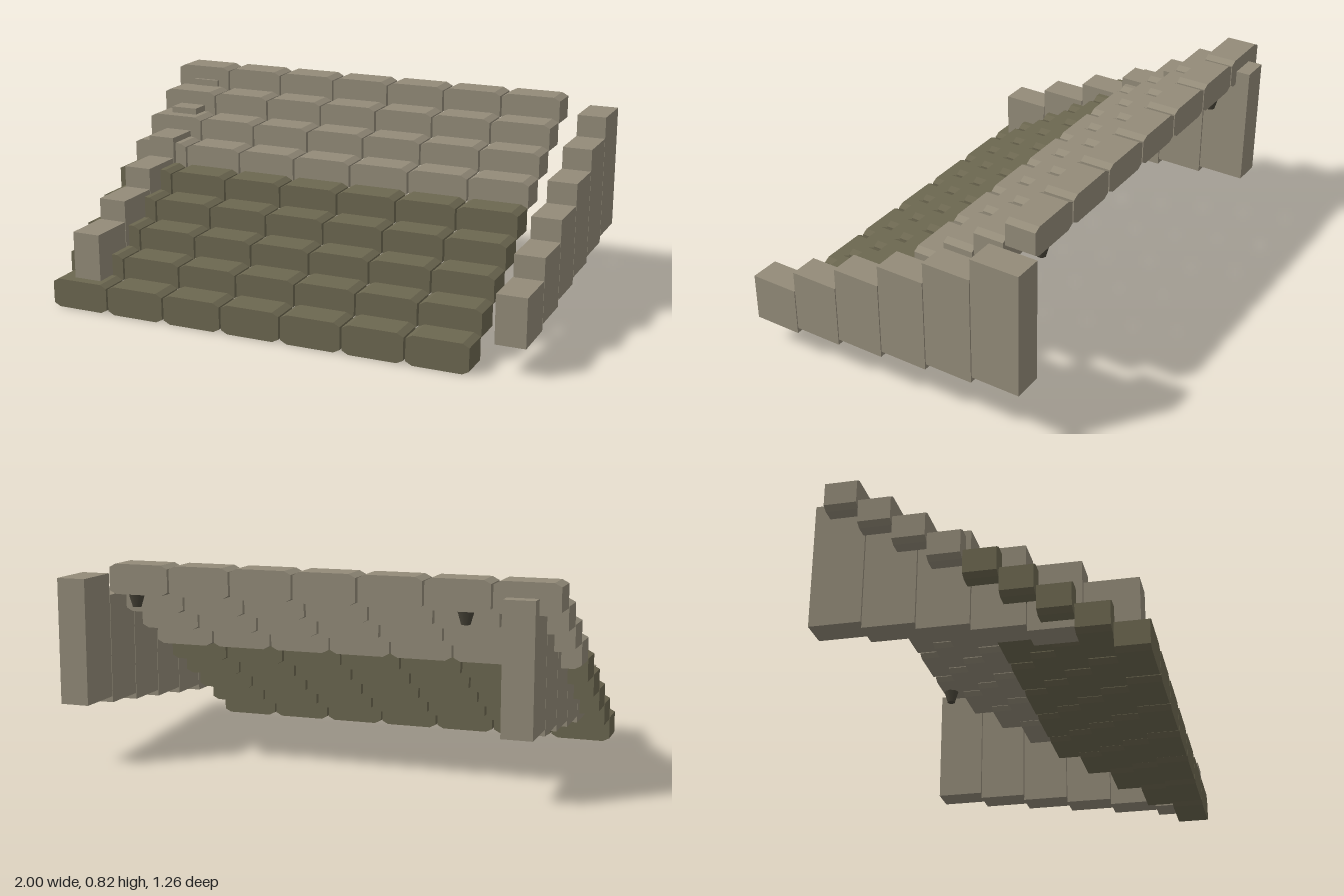
import * as THREE from 'three';

const stone = new THREE.MeshStandardMaterial({ name: 'paleStone', color: 0x938b79 });
const mossy = new THREE.MeshStandardMaterial({ name: 'mossyStone', color: 0x6c6750 });
const dark = new THREE.MeshStandardMaterial({ name: 'darkMetal', color: 0x4a463a });

// Step block: a rectangle with chamfered corners, extruded along z and centred
function stepGeometry(w, h, d, cx, cy) {
  const a = w / 2, b = h / 2;
  const shape = new THREE.Shape([
    [-a + cx, -b], [a - cx, -b], [a, -b + cy], [a, b - cy],
    [a - cx, b], [-a + cx, b], [-a, b - cy], [-a, -b + cy],
  ].map(([x, y]) => new THREE.Vector2(x, y)));
  const geo = new THREE.ExtrudeGeometry(shape, { depth: d, bevelEnabled: false });
  geo.translate(0, 0, -d / 2);
  return geo;
}

export function createModel() {
  const model = new THREE.Group();
  model.name = 'stoneStaircase';

  // Nine rows of seven blocks, mossy on the lower five
  const block = stepGeometry(0.25, 0.12, 0.126, 0.027, 0.014);
  for (let row = 0; row < 9; row++) {
    const step = new THREE.Group();
    step.name = 'step' + (row + 1);
    step.position.set(0, 0.06 + row * 0.087, 0.567 - row * 0.1344);
    for (let col = 0; col < 7; col++) {
      const mesh = new THREE.Mesh(block, row < 5 ? mossy : stone);
      mesh.name = 'stepBlock';
      mesh.position.x = -0.875 + col * 0.2583;
      step.add(mesh);
    }
    model.add(step);
  }

  // Stepped side walls, each block taller than the one before
  for (const [name, x] of [['leftWall', 0.94], ['rightWall', -0.86]]) {
    const wall = new THREE.Group();
    wall.name = name;
    for (let i = 0; i < 6; i++) {
      const bottom = 0.12 + i * 0.026, top = 0.315 + i * 0.0884;
      const mesh = new THREE.Mesh(new THREE.BoxGeometry(0.12, top - bottom, 0.2), stone);
      mesh.name = 'wallBlock';
      mesh.position.set(x, (top + bottom) / 2, 0.489 - i * 0.204);
      wall.add(mesh);
    }
    model.add(wall);
  }

  // Small cups under the top step
  const cup = new THREE.CylinderGeometry(0.034, 0.018, 0.055, 8);
  for (const x of [0.7, -0.64]) {
    const mesh = new THREE.Mesh(cup, dark);
    mesh.name = 'underCup';
    mesh.position.set(x, 0.672, -0.535);
    model.add(mesh);
  }
  return model;
}
